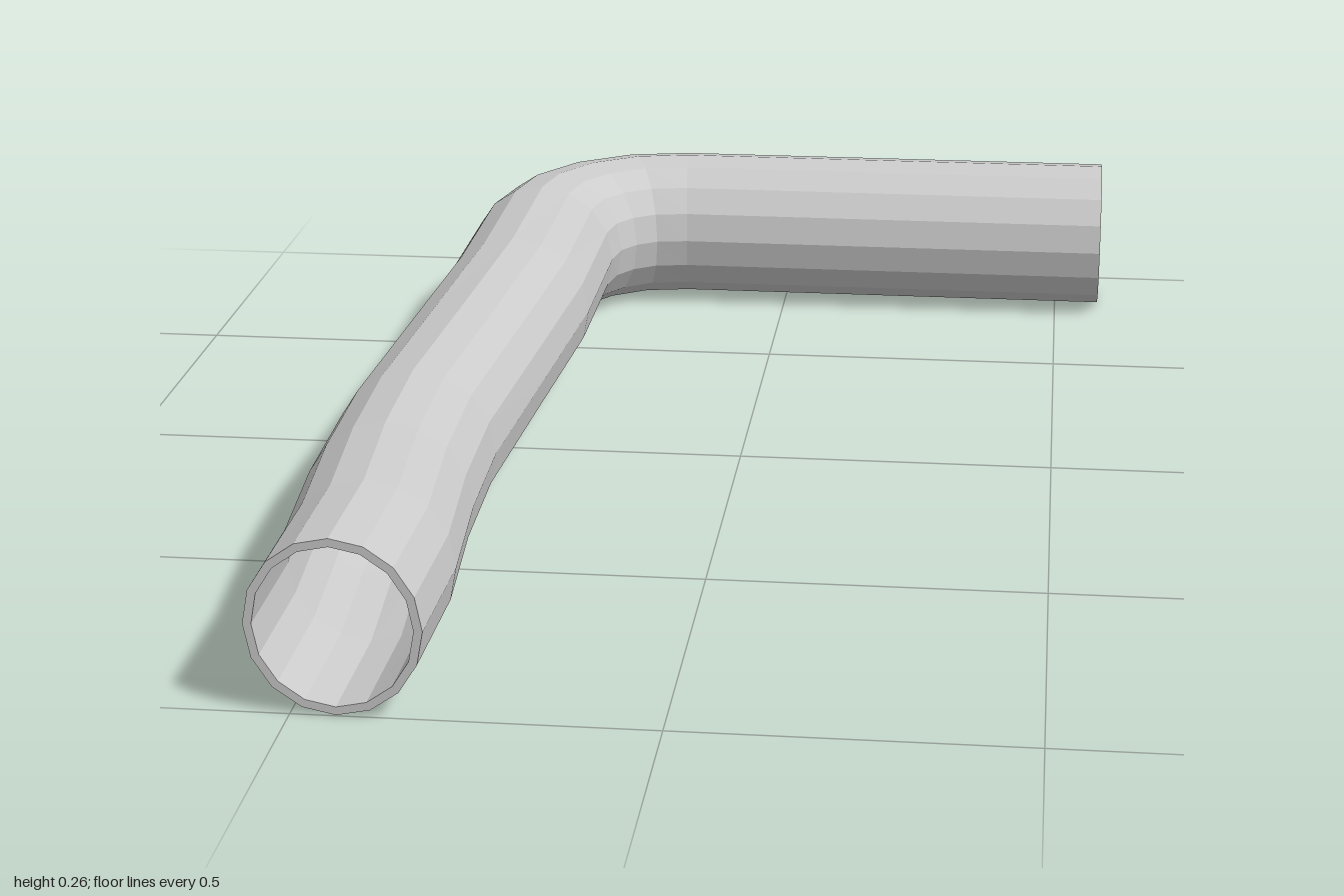
import * as THREE from 'three';

const SIDES = 16, WALL = 0.012, AXIS_Y = 0.131;

// Centre line stations: x, z, half width, half height
function pipeStations() {
  const list = [[0.578, -0.872, 0.128, 0.128]];
  // Elbow: quarter turn in four steps
  for (let i = 0; i <= 4; i++) {
    const a = (i / 4) * Math.PI / 2;
    list.push([-0.188 - 0.235 * Math.sin(a), -0.637 - 0.235 * Math.cos(a), 0.128, 0.128]);
  }
  // Long leg with a gentle sideways sway
  list.push(
    [-0.423, -0.33, 0.128, 0.127],
    [-0.44, 0, 0.126, 0.126],
    [-0.457, 0.35, 0.123, 0.128],
    [-0.452, 0.57, 0.123, 0.128],
    [-0.435, 0.79, 0.123, 0.127],
    [-0.437, 1, 0.121, 0.127],
  );
  return list;
}

// Rings of points around the centre line, shrunk by inset
function makeRings(stations, inset) {
  return stations.map(([x, z, rx, ry], i) => {
    const p = stations[Math.max(i - 1, 0)], n = stations[Math.min(i + 1, stations.length - 1)];
    const into = new THREE.Vector2(x - p[0], z - p[1]).normalize();
    const out = new THREE.Vector2(n[0] - x, n[1] - z).normalize();
    const t = into.add(out).normalize();
    return Array.from({ length: SIDES }, (_, j) => {
      const a = (j / SIDES) * Math.PI * 2;
      const w = Math.cos(a) * (rx - inset);
      return [x + t.y * w, AXIS_Y + Math.sin(a) * (ry - inset), z - t.x * w];
    });
  });
}

export function createModel() {
  const group = new THREE.Group();
  group.name = 'bentPipe';

  // Outer skin, then back along the bore, closed by a rim at each end
  const stations = pipeStations();
  const rings = [...makeRings(stations, 0), ...makeRings(stations, WALL).reverse()];
  const index = [];
  for (let i = 0; i < rings.length; i++) {
    const k = (i + 1) % rings.length;
    for (let j = 0; j < SIDES; j++) {
      const m = (j + 1) % SIDES;
      const a = i * SIDES + j, b = i * SIDES + m, c = k * SIDES + m, d = k * SIDES + j;
      index.push(a, b, c, a, c, d);
    }
  }
  const geometry = new THREE.BufferGeometry();
  geometry.setAttribute('position', new THREE.Float32BufferAttribute(rings.flat(2), 3));
  geometry.setIndex(index);
  geometry.computeVertexNormals();

  const pipe = new THREE.Mesh(
    geometry,
    new THREE.MeshStandardMaterial({ color: 0xcccccc, flatShading: true }),
  );
  pipe.name = 'pipe';
  group.add(pipe);
  return group;
}
